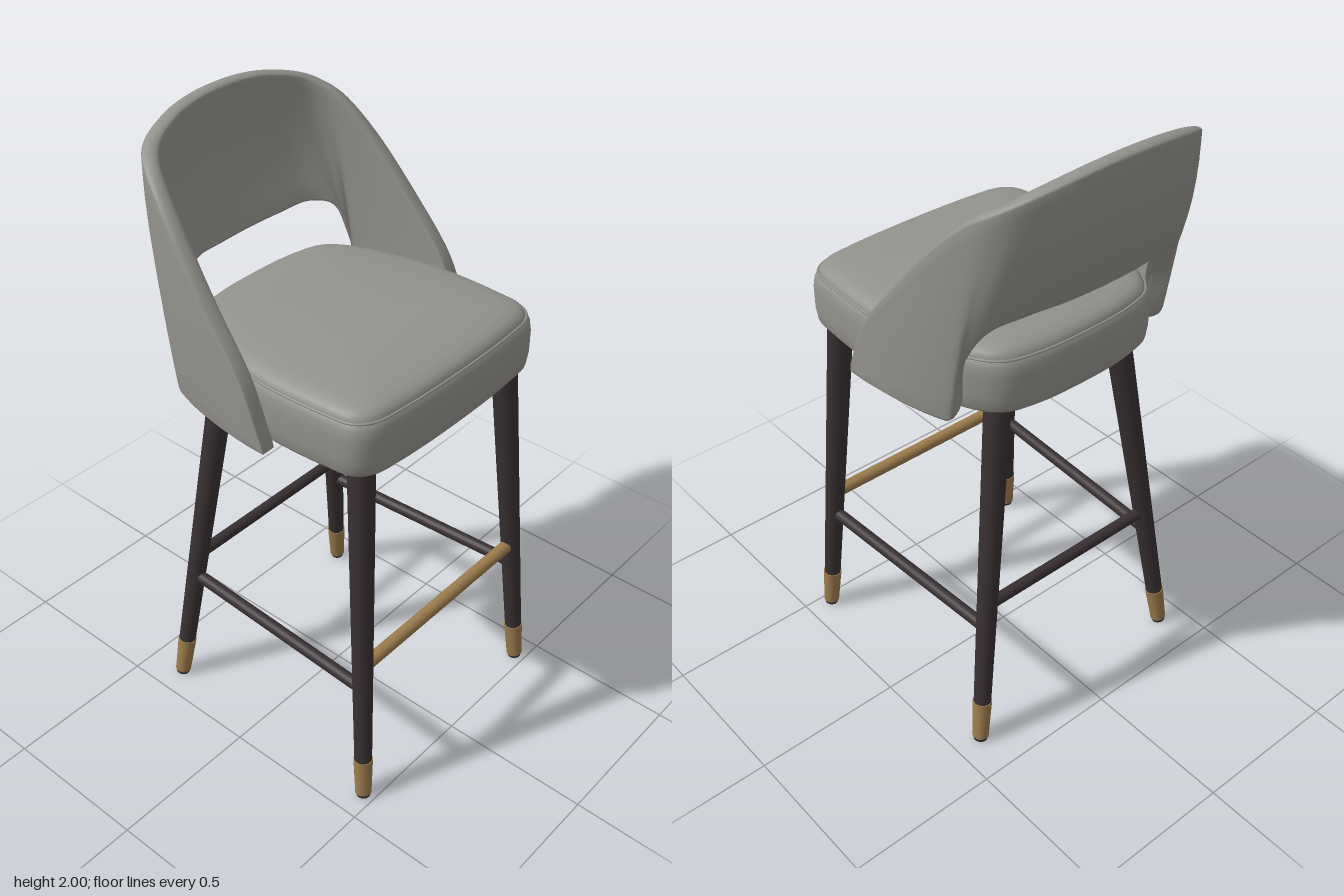
import * as THREE from 'three';

const V = (x, y, z) => new THREE.Vector3(x, y, z);
const material = (name, color) => Object.assign(new THREE.MeshStandardMaterial({ color }), { name });

// Skin a list of closed rings, with a flat fan on each end
function loft(rings) {
  const n = rings[0].length, pos = [], index = [];
  rings.forEach(r => r.forEach(p => pos.push(p.x, p.y, p.z)));
  for (let i = 0; i < rings.length - 1; i++) {
    for (let j = 0; j < n; j++) {
      const k = (j + 1) % n, a = i * n, b = a + n;
      index.push(a + j, a + k, b + k, a + j, b + k, b + j);
    }
  }
  [rings[0], rings[rings.length - 1]].forEach((ring, end) => {
    const base = pos.length / 3, c = V(0, 0, 0);
    ring.forEach(p => { c.addScaledVector(p, 1 / n); pos.push(p.x, p.y, p.z); });
    pos.push(c.x, c.y, c.z);
    for (let j = 0; j < n; j++) {
      const k = (j + 1) % n;
      index.push(base + n, base + (end ? j : k), base + (end ? k : j));
    }
  });
  const g = new THREE.BufferGeometry();
  g.setAttribute('position', new THREE.Float32BufferAttribute(pos, 3));
  g.setIndex(index);
  g.computeVertexNormals();
  return g;
}

// Tapered round bar between two points
function bar(name, a, b, ra, rb, mat) {
  const dir = b.clone().sub(a);
  const mesh = new THREE.Mesh(new THREE.CylinderGeometry(rb, ra, dir.length(), 24), mat);
  mesh.position.copy(a).add(b).multiplyScalar(0.5);
  mesh.quaternion.setFromUnitVectors(V(0, 1, 0), dir.normalize());
  mesh.name = name;
  return mesh;
}

// Smooth curve through half a set of points and their mirror image
function mirroredCurve(half) {
  const pts = half.map(p => V(...p));
  const other = half.slice(0, -1).reverse().map(([x, y, z]) => V(-x, y, z));
  return new THREE.CatmullRomCurve3([...pts, ...other], false, 'catmullrom', 0.5);
}

export function createModel() {
  const model = new THREE.Group();
  const fabric = material('greyFabric', 0x94928d);
  const wood = material('darkWood', 0x382f31);
  const brass = material('brass', 0x9c7c4c);
  const add = (name, geometry, mat) => {
    const mesh = new THREE.Mesh(geometry, mat);
    mesh.name = name;
    model.add(mesh);
  };

  // Seat cushion: plan outline, stacked with insets into a soft crowned pad
  const half = [[0.25, 0.457], [0.36, 0.44], [0.405, 0.4], [0.42, 0.3], [0.425, 0.1],
    [0.41, -0.02], [0.378, -0.15], [0.338, -0.26], [0.28, -0.33], [0.17, -0.361]];
  const outline = new THREE.CatmullRomCurve3([
    V(0, 0, 0.465), ...half.map(([x, z]) => V(x, 0, z)),
    V(0, 0, -0.37), ...half.slice().reverse().map(([x, z]) => V(-x, 0, z)),
  ], true).getPoints(96).slice(0, -1);
  const ringAt = (inset, y) => outline.map(p => {
    const s = 1 - inset / 0.425;
    return V(p.x * s, y, 0.045 + (p.z - 0.045) * s);
  });
  const pad = [[0.03, 1.222], [0.014, 1.225], [0.005, 1.238], [0, 1.28], [0, 1.35], [0.004, 1.38],
    [0.012, 1.396], [0.018, 1.4], [0.016, 1.404], [0.024, 1.418], [0.04, 1.429], [0.07, 1.437],
    [0.13, 1.445], [0.22, 1.452], [0.32, 1.456], [0.4, 1.457]];
  add('seatCushion', loft(pad.map(([d, y]) => ringAt(d, y))), fabric);

  // Piping along the seat seam
  const seam = new THREE.CatmullRomCurve3(ringAt(0.013, 1.4), true);
  add('seatPiping', new THREE.TubeGeometry(seam, 160, 0.004, 8, true), fabric);

  // Wraparound backrest: upper and lower edges from the arm tip to the centre
  const upper = mirroredCurve([[0.475, 1.245, 0.128], [0.475, 1.43, 0.05], [0.465, 1.6, -0.08],
    [0.443, 1.76, -0.21], [0.41, 1.875, -0.32], [0.368, 1.925, -0.395], [0.305, 1.955, -0.44],
    [0.2, 1.982, -0.472], [0.1, 1.996, -0.485], [0, 2, -0.488]]);
  const lower = mirroredCurve([[0.473, 1.218, 0.132], [0.475, 1.218, 0.05], [0.465, 1.218, -0.06],
    [0.445, 1.218, -0.17], [0.418, 1.225, -0.255], [0.4, 1.4, -0.285], [0.36, 1.53, -0.345],
    [0.26, 1.57, -0.395], [0.13, 1.57, -0.412], [0, 1.57, -0.417]]);
  // Cross-section as [height, depth] fractions: outside down, inside up
  const heights = [0.975, 0.9, 0.75, 0.6, 0.45, 0.3, 0.15, 0.03];
  const section = [[1, 0.35], [0.99, 0.1], ...heights.map(v => [v, 0]), [0.01, 0.1], [0, 0.35],
    [0, 0.65], [0.01, 0.9], ...heights.slice().reverse().map(v => [v, 1]), [0.99, 0.9], [1, 0.65]];
  const steps = 108, rings = [];
  const middle = t => upper.getPoint(t).add(lower.getPoint(t)).multiplyScalar(0.5);
  for (let i = 0; i <= steps; i++) {
    const t = i / steps, top = upper.getPoint(t), low = lower.getPoint(t);
    low.y = Math.max(low.y, 1.218);
    const along = middle(Math.min(1, t + 0.02)).sub(middle(Math.max(0, t - 0.02)));
    const inward = V(along.z, 0, -along.x).normalize();
    const wrap = Math.sin(Math.PI * t);
    const thick = 0.046 + 0.03 * wrap, bulge = 0.025 * wrap * wrap;
    rings.push(section.map(([v, d]) => low.clone().lerp(top, v)
      .addScaledVector(inward, d * thick * (1 - 0.4 * v * wrap) - bulge * 4 * v * (1 - v))));
  }
  add('backrest', loft(rings), fabric);

  // Legs with brass ferrules and small glides
  const legs = { front: [V(0.413, 0, 0.463), V(0.335, 1.235, 0.373)],
    back: [V(0.41, 0, -0.363), V(0.235, 1.235, -0.25)] };
  const onLeg = (kind, side, y) => {
    const p = legs[kind][0].clone().lerp(legs[kind][1], y / 1.235);
    p.x *= side;
    return p;
  };
  for (const side of [1, -1]) {
    const label = side > 0 ? 'Left' : 'Right';
    for (const kind of ['front', 'back']) {
      const at = y => onLeg(kind, side, y);
      model.add(bar(kind + label + 'Leg', at(0.15), at(1.235), 0.028, 0.041, wood));
      model.add(bar(kind + label + 'Ferrule', at(0.014), at(0.152), 0.026, 0.031, brass));
      model.add(bar(kind + label + 'Glide', at(0.002), at(0.015), 0.022, 0.025, wood));
    }
    model.add(bar('side' + label + 'Stretcher', onLeg('front', side, 0.432),
      onLeg('back', side, 0.432), 0.02, 0.02, wood));
  }

  // Brass footrest in front, wooden stretcher behind
  model.add(bar('footrest', onLeg('front', -1, 0.515), onLeg('front', 1, 0.515), 0.021, 0.021, brass));
  model.add(bar('backStretcher', onLeg('back', -1, 0.515), onLeg('back', 1, 0.515), 0.019, 0.019, wood));
  return model;
}
